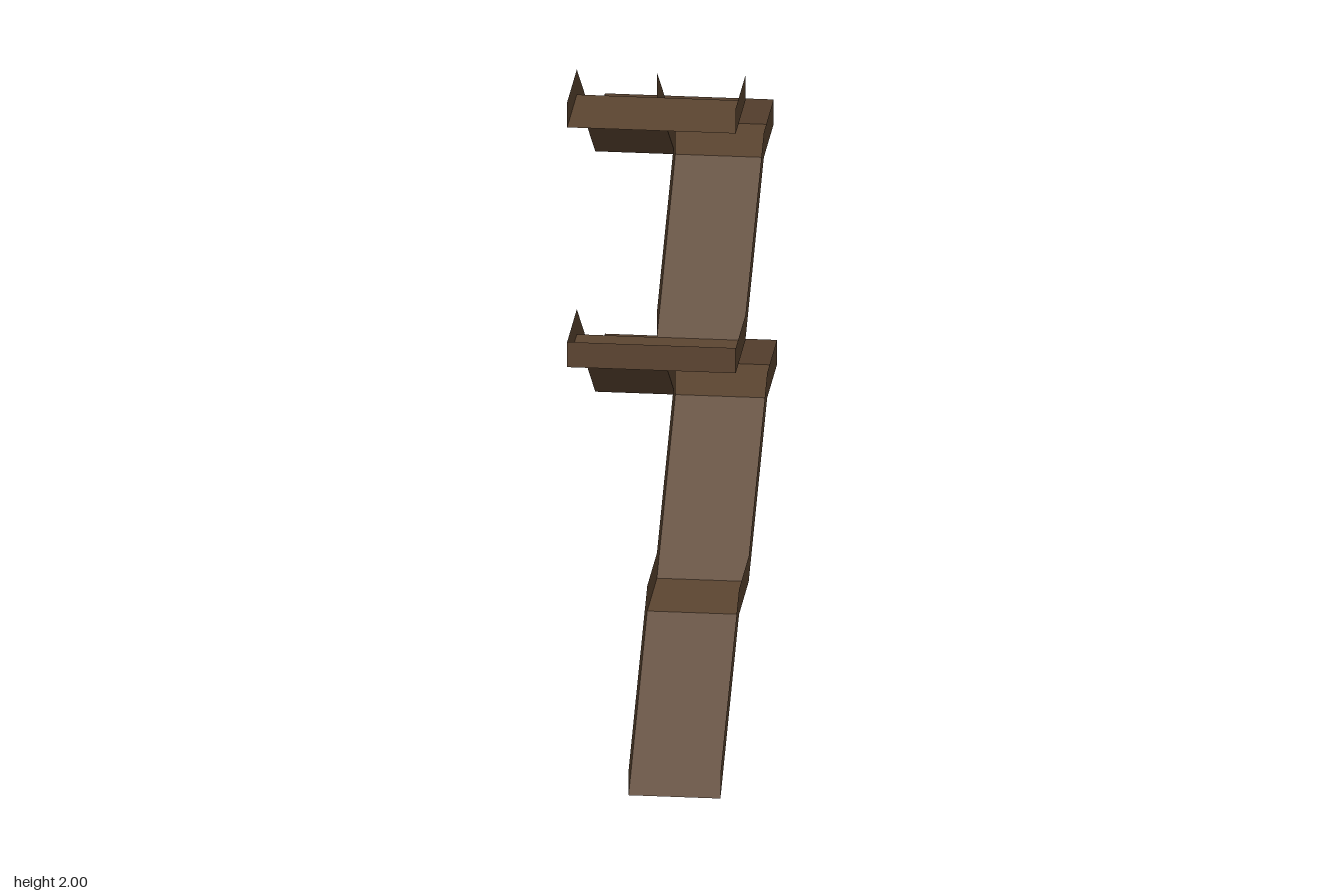
import * as THREE from 'three';

const WALL = 0.08;                       // height of the side walls
const XL = -0.26, XM = -0.02;            // outer and inner edges of the flights
const FRONT = 0.28, TURN = 0, BACK = -0.535, END = -0.815;

const brown = new THREE.MeshStandardMaterial({ color: 0x5c4531, side: THREE.DoubleSide });
brown.name = 'brown';

// One flat four-cornered panel, corners counter-clockwise from its front
function panel(name, a, b, c, d) {
  const g = new THREE.BufferGeometry();
  g.setAttribute('position', new THREE.Float32BufferAttribute([...a, ...b, ...c, ...d], 3));
  g.setIndex([0, 1, 2, 0, 2, 3]);
  g.computeVertexNormals();
  const mesh = new THREE.Mesh(g, brown);
  mesh.name = name;
  return mesh;
}

// Floor between (z0, y0) and (z1, y1), z0 being nearer the front
function floor(x0, x1, z0, y0, z1, y1) {
  return panel('floor', [x0, y0, z0], [x1, y0, z0], [x1, y1, z1], [x0, y1, z1]);
}

// Upright wall along z; side is +1 for the left wall and -1 for the right wall
function sideWall(x, z0, y0, z1, y1, side) {
  const p = [[x, y0, z0], [x, y1, z1], [x, y1 + WALL, z1], [x, y0 + WALL, z0]];
  if (side < 0) p.reverse();
  return panel('sideWall', ...p);
}

// Upright wall across the end of a landing
function endWall(x0, x1, z, y) {
  const p = [[x0, y, z], [x1, y, z], [x1, y + WALL, z], [x0, y + WALL, z]];
  if (z < 0) p.reverse();
  return panel('endWall', ...p);
}

// Open channel: a floor with a wall on each side
function channel(name, x0, x1, z0, y0, z1, y1) {
  const g = new THREE.Group();
  g.name = name;
  g.add(
    floor(x0, x1, z0, y0, z1, y1),
    sideWall(x1, z0, y0, z1, y1, 1),
    sideWall(x0, z0, y0, z1, y1, -1),
  );
  return g;
}

export function createModel() {
  const model = new THREE.Group();
  model.name = 'switchbackRamp';

  // Entry ramp and short level stretch
  model.add(channel('entryRamp', XM, 0.255, 0.82, 0.005, FRONT, 0.39));
  model.add(channel('levelStretch', XM, 0.255, FRONT, 0.39, TURN, 0.39));

  // Two storeys, each with a flight back, a turn, a flight forward and a turn
  const storeys = [
    { start: 0.39, back: 0.775, front: 1.157, right: 0.255, frontRight: 0.245, closed: true },
    { start: 1.157, back: 1.54, front: 1.92, right: 0.245, frontRight: 0.245, closed: false },
  ];
  for (const s of storeys) {
    model.add(channel('flightBack', XM, s.right, TURN, s.start, BACK, s.back));

    const backLanding = channel('backLanding', XL, s.right, BACK, s.back, END, s.back);
    backLanding.add(endWall(XL, s.right, END, s.back));
    model.add(backLanding);

    model.add(channel('flightForward', XL, XM, TURN, s.front, BACK, s.back));

    // The topmost landing stays open at its front
    const frontLanding = channel('frontLanding', XL, s.frontRight, FRONT, s.front, TURN, s.front);
    if (s.closed) frontLanding.add(endWall(XL, s.frontRight, FRONT, s.front));
    model.add(frontLanding);
  }
  model.position.y = -0.005;
  const root = new THREE.Group();
  root.add(model);
  return root;
}
